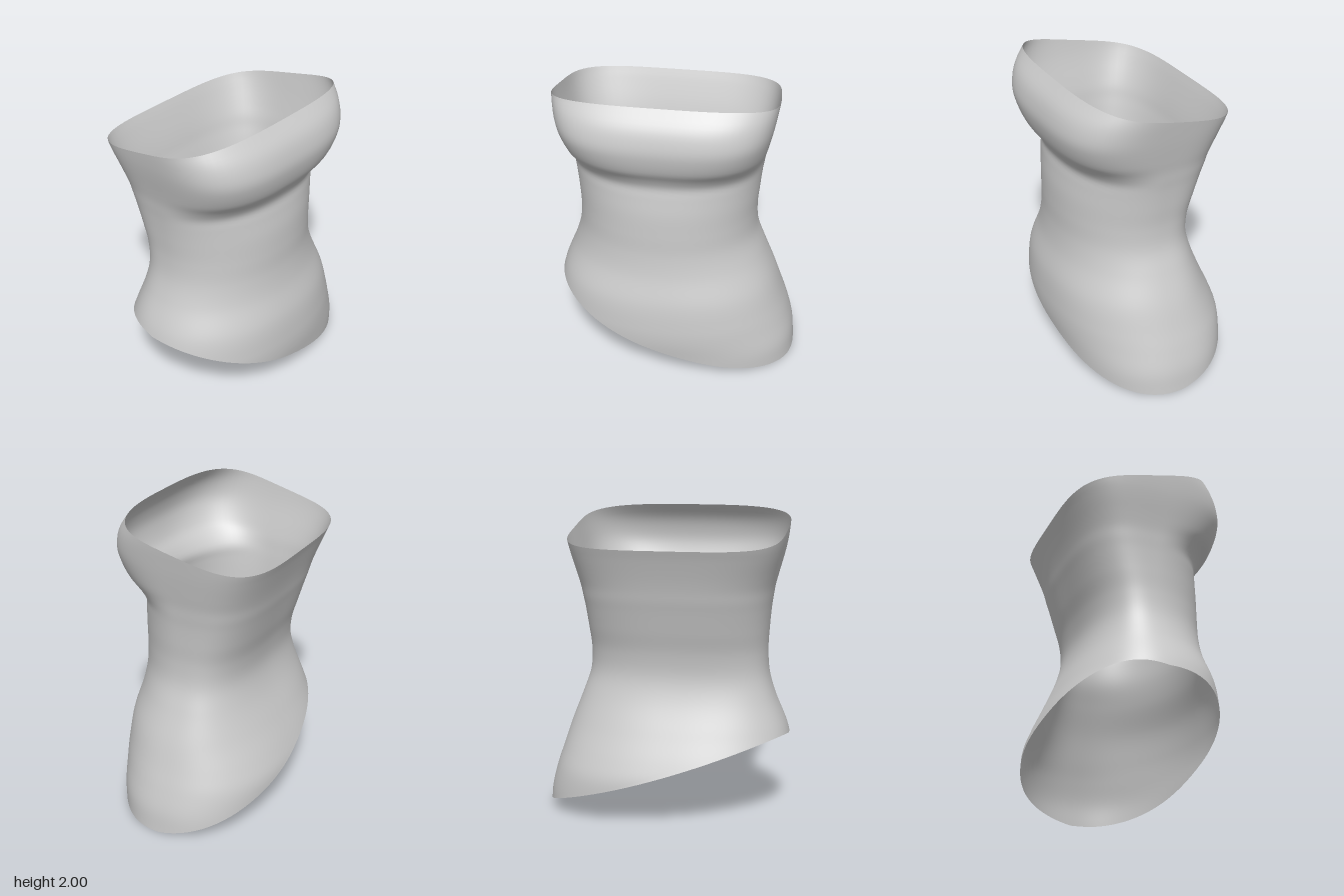
import * as THREE from 'three';

// Body sections: height, right x, left x, front z, back z, front squareness, back squareness
const SECTIONS = [
  [0.0, -0.85, 0.805, 0.525, -0.55, 2.3, 2.4],
  [0.15, -0.85, 0.79, 0.54, -0.56, 2.3, 2.4],
  [0.3, -0.845, 0.75, 0.56, -0.56, 2.2, 2.4],
  [0.42, -0.83, 0.71, 0.562, -0.52, 2.2, 2.4],
  [0.6, -0.79, 0.65, 0.545, -0.44, 2.2, 2.4],
  [0.8, -0.71, 0.57, 0.495, -0.355, 2.1, 2.6],
  [0.95, -0.667, 0.518, 0.475, -0.322, 2.1, 2.7],
  [1.1, -0.655, 0.507, 0.472, -0.335, 2.1, 2.8],
  [1.25, -0.662, 0.518, 0.467, -0.375, 2.1, 3.0],
  [1.38, -0.673, 0.53, 0.452, -0.41, 2.15, 3.2],
  [1.45, -0.682, 0.54, 0.445, -0.43, 2.2, 3.3],
  [1.52, -0.692, 0.55, 0.475, -0.447, 2.45, 3.4],
  [1.6, -0.71, 0.567, 0.528, -0.47, 2.85, 3.6],
  [1.72, -0.74, 0.592, 0.562, -0.51, 3.2, 3.9],
  [1.8, -0.757, 0.607, 0.56, -0.54, 3.3, 4.0],
  [1.9, -0.772, 0.624, 0.527, -0.565, 3.2, 4.0],
  [2.0, -0.78, 0.635, 0.45, -0.59, 3.1, 4.0],
];

// Smooth interpolation of one section column at height y
function sample(col, y) {
  const last = SECTIONS.length - 1;
  let i = 0;
  while (i < last - 1 && y > SECTIONS[i + 1][0]) i++;
  const slope = (a, b) => {
    const p = SECTIONS[Math.max(a, 0)], q = SECTIONS[Math.min(b, last)];
    return (q[col] - p[col]) / (q[0] - p[0]);
  };
  const p = SECTIONS[i], q = SECTIONS[i + 1], h = q[0] - p[0];
  const t = THREE.MathUtils.clamp((y - p[0]) / h, 0, 1), t2 = t * t, t3 = t2 * t;
  return (2 * t3 - 3 * t2 + 1) * p[col] + (t3 - 2 * t2 + t) * h * slope(i - 1, i + 1)
    + (3 * t2 - 2 * t3) * q[col] + (t3 - t2) * h * slope(i, i + 2);
}

// Point on the body at an angle and height: a superellipse, squarer at the back
function bodyPoint(angle, y) {
  const c = Math.cos(angle), s = Math.sin(angle), front = s >= 0;
  const xr = sample(1, y), xl = sample(2, y);
  const depth = Math.abs(sample(front ? 3 : 4, y)), n = sample(front ? 5 : 6, y);
  const r = (Math.abs(c) ** n + Math.abs(s) ** n) ** (-1 / n);
  return new THREE.Vector3((xl + xr) / 2 + (xl - xr) / 2 * r * c, y, depth * r * s);
}

// Slanted edges
const hemHeight = (p) => Math.max(0, 0.21 - 0.344 * p.x + 0.1 * p.x * p.x + 0.23 * Math.max(0, -p.z));
const rimHeight = (p) => 1.888 + 0.23 * p.z + 0.04 * p.z * p.z;

// Height where the body meets a slanted edge
function meet(angle, edge, y) {
  for (let k = 0; k < 20; k++) y = edge(bodyPoint(angle, y));
  return y;
}

function garmentGeometry(around = 96, rows = 72) {
  const positions = [], index = [];
  const spans = Array.from({ length: around }, (_, j) => {
    const angle = j / around * Math.PI * 2;
    return [angle, meet(angle, hemHeight, 0.3), meet(angle, rimHeight, 1.9)];
  });
  for (let i = 0; i <= rows; i++) {
    spans.forEach(([angle, low, high], j) => {
      positions.push(...bodyPoint(angle, THREE.MathUtils.lerp(low, high, i / rows)).toArray());
      if (i === rows) return;
      const a = i * around + j, b = i * around + (j + 1) % around;
      index.push(a, a + around, b, b, a + around, b + around);
    });
  }
  const geometry = new THREE.BufferGeometry();
  geometry.setAttribute('position', new THREE.Float32BufferAttribute(positions, 3));
  geometry.setIndex(index);
  geometry.computeVertexNormals();
  return geometry;
}

export function createModel() {
  const group = new THREE.Group();
  group.name = 'straplessTop';
  // Open fabric shell with slanted hem
  const material = new THREE.MeshStandardMaterial({ color: 0xcccccc, side: THREE.DoubleSide });
  const shell = new THREE.Mesh(garmentGeometry(), material);
  shell.name = 'fabricShell';
  group.add(shell);
  return group;
}
